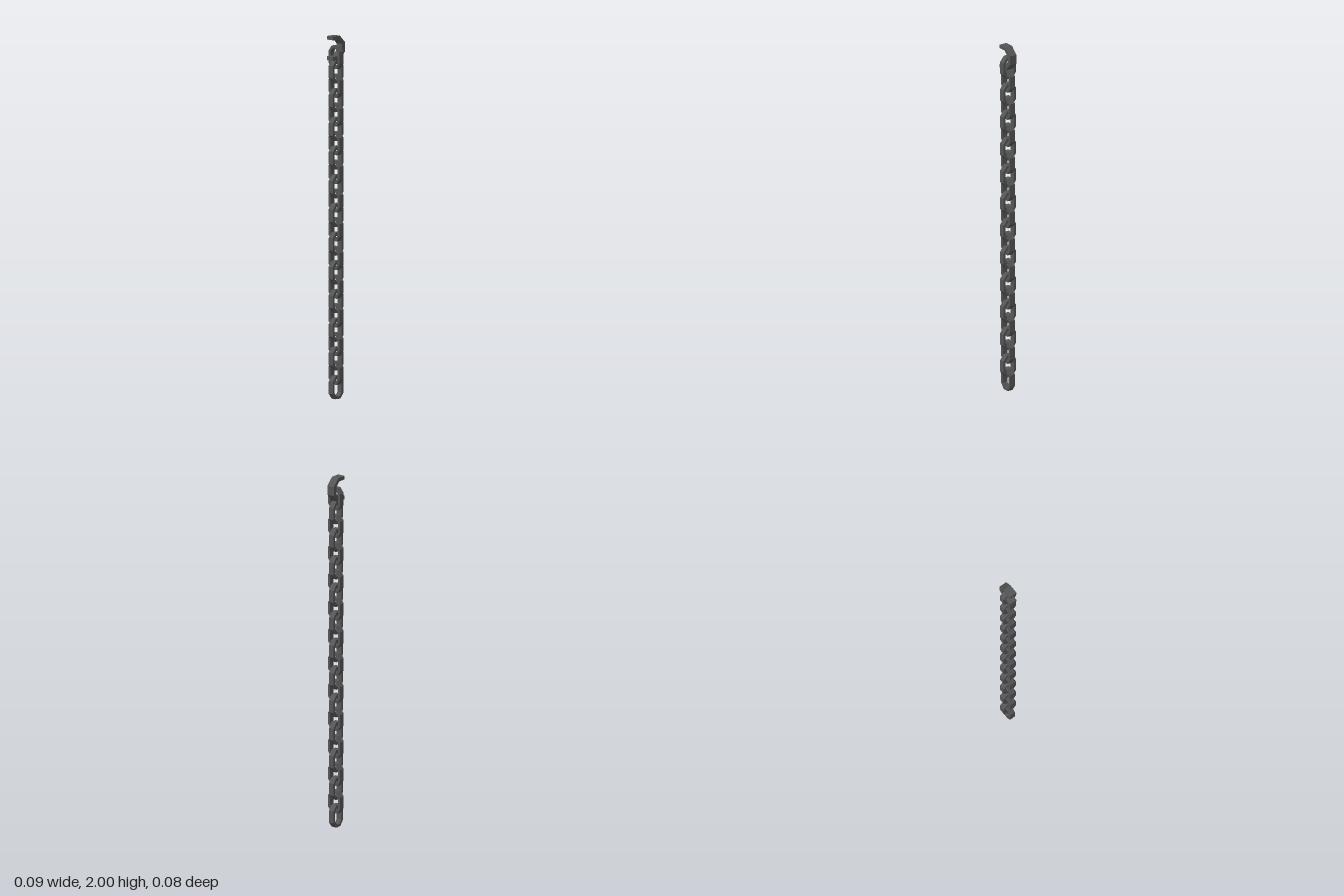
import * as THREE from 'three';

const metal = new THREE.MeshStandardMaterial({ color: 0x555555, flatShading: true });

// Elongated octagon: half width w, half height h, straight side s, flat end f
function octagon(Type, w, h, s, f) {
  const pts = [[f, -h], [w, -s], [w, s], [f, h], [-f, h], [-w, s], [-w, -s], [-f, -h]];
  return new Type(pts.map(([x, y]) => new THREE.Vector2(x, y)));
}

// Flat plate of the given depth, centred on z = 0
function plate(shape, depth) {
  const geometry = new THREE.ExtrudeGeometry(shape, { depth, bevelEnabled: false });
  return geometry.translate(0, 0, -depth / 2);
}

export function createModel() {
  const model = new THREE.Group();
  model.name = 'hangingChain';

  // Chain links, each turned a quarter from the one below
  const linkShape = octagon(THREE.Shape, 0.041, 0.0635, 0.034, 0.018);
  linkShape.holes.push(octagon(THREE.Path, 0.0275, 0.049, 0.029, 0.012));
  const linkGeometry = plate(linkShape, 0.032);
  for (let i = 0; i < 24; i++) {
    const link = new THREE.Mesh(linkGeometry, metal);
    link.name = 'link' + (i + 1);
    link.position.y = 0.0635 + i * 0.079;
    if (i % 2) link.rotation.y = Math.PI / 2;
    model.add(link);
  }

  // Open hook passing through the top link
  const hookShape = new THREE.Shape([
    [-0.048, 1.866], [0.007, 1.866], [0.047, 1.908], [0.047, 1.96], [0.007, 2], [-0.048, 2],
    [-0.048, 1.98], [-0.001, 1.98], [0.025, 1.953], [0.025, 1.915], [-0.001, 1.888], [-0.048, 1.888],
  ].map(([x, y]) => new THREE.Vector2(x, y)));
  const hook = new THREE.Mesh(plate(hookShape, 0.044), metal);
  hook.name = 'hook';
  model.add(hook);

  return model;
}
